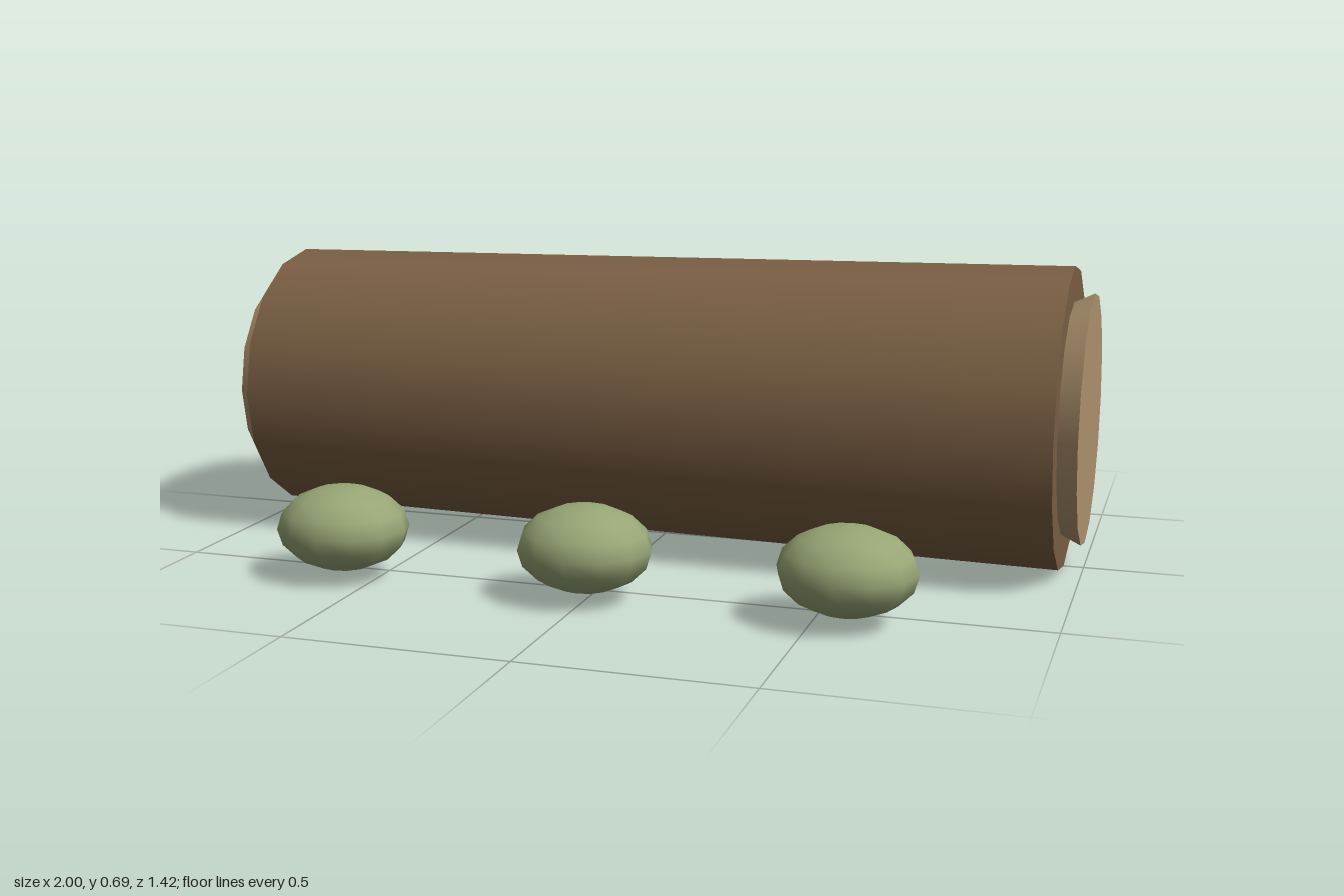
import * as THREE from 'three';

const paint = (name, color) => {
  const m = new THREE.MeshStandardMaterial({ color });
  m.name = name;
  return m;
};

export function createModel() {
  const bark = paint('bark brown', 0x7a5f43);
  const wood = paint('cut wood', 0xae926e);
  const moss = paint('moss green', 0x98a676);
  const model = new THREE.Group();
  model.name = 'mossyLog';

  const axisY = 0.345;

  // Tapered cylinder lying along x, from x0 to x1
  const lying = (name, x0, x1, r0, r1, material) => {
    const geometry = new THREE.CylinderGeometry(r1, r0, x1 - x0, 16);
    geometry.rotateZ(-Math.PI / 2);
    const mesh = new THREE.Mesh(geometry, material);
    mesh.name = name;
    mesh.position.set((x0 + x1) / 2, axisY, 0);
    model.add(mesh);
  };

  // Trunk and the cut wood at both ends
  lying('trunk', -0.955, 0.955, 0.318, 0.345, bark);
  lying('rightCutEnd', -1, -0.954, 0.264, 0.286, wood);
  lying('leftCutEnd', 0.954, 1, 0.264, 0.286, wood);

  // Rows of moss mounds along the front and back
  const mound = new THREE.SphereGeometry(1, 12, 8);
  for (const z of [0.576, -0.576]) {
    for (const x of [-0.573, 0, 0.573]) {
      const mesh = new THREE.Mesh(mound, moss);
      mesh.name = z > 0 ? 'frontMoss' : 'backMoss';
      mesh.scale.set(0.15, 0.095, 0.132);
      mesh.position.set(x, 0.116, z);
      model.add(mesh);
    }
  }
  return model;
}
